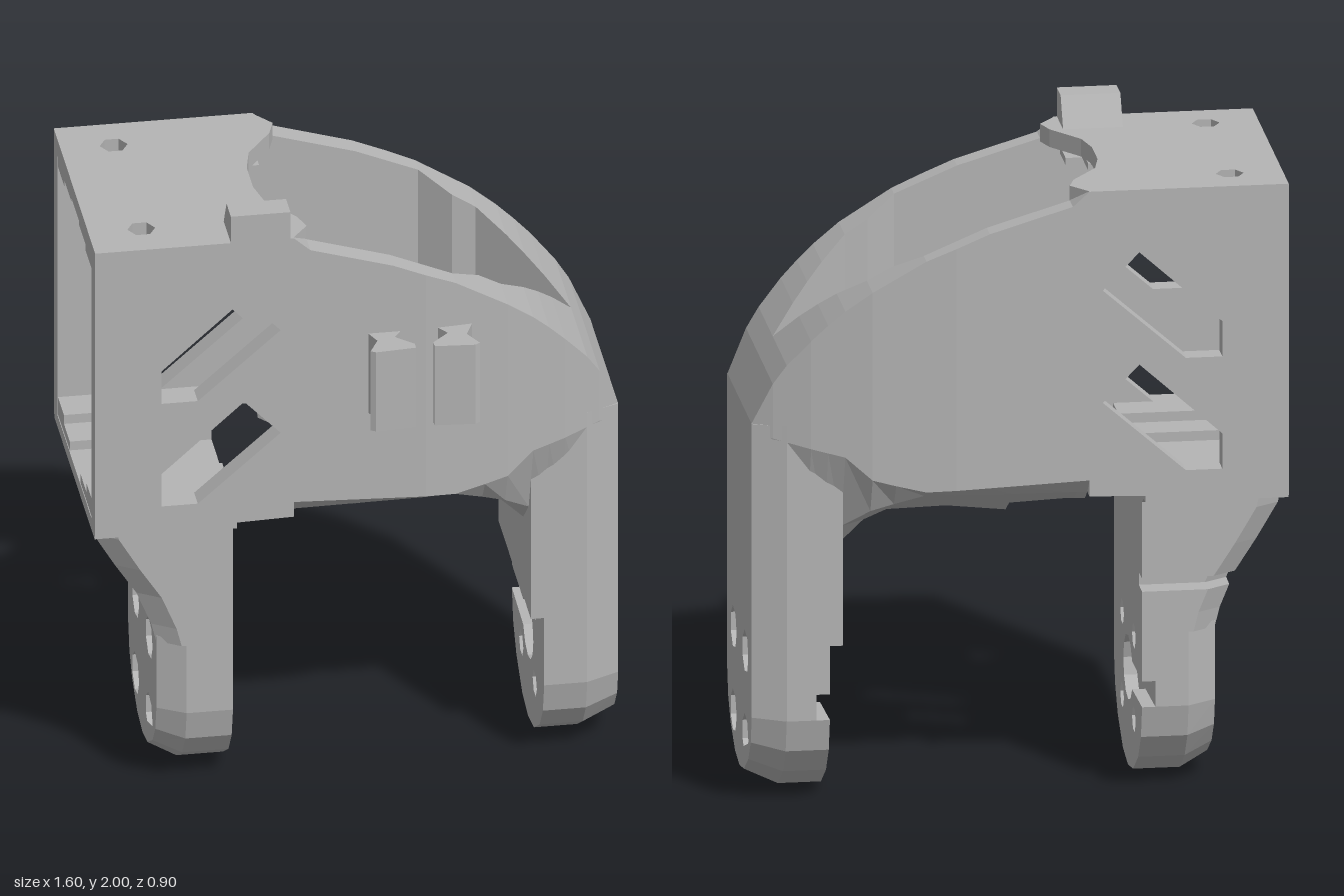
import * as THREE from 'three';

const ZC = -0.058; // centre plane of the housing in z
const grey = new THREE.MeshStandardMaterial({ color: 0xb4b4b4 });
grey.name = 'bracket grey';

const V = (pts) => pts.map(([a, b]) => new THREE.Vector2(a, b));
const ring = (cx, cy, r, n) => Array.from({ length: n }, (_, i) => {
  const t = (i / n) * Math.PI * 2;
  return [cx + r * Math.cos(t), cy + r * Math.sin(t)];
});

function plate(points, holes, depth) {
  const s = new THREE.Shape(V(points));
  holes.forEach((h) => s.holes.push(new THREE.Path(V(h))));
  return new THREE.ExtrudeGeometry(s, { depth, bevelEnabled: false });
}

// Faceted solid through counter-clockwise loops stacked along local z
function loft(stations, loopAt) {
  const loops = stations.map(loopAt);
  const n = loops[0].length;
  const pos = [];
  const put = (k, i) => pos.push(loops[k][i][0], loops[k][i][1], stations[k]);
  for (let k = 0; k < loops.length - 1; k++) {
    for (let i = 0; i < n; i++) {
      const j = (i + 1) % n;
      put(k, i); put(k, j); put(k + 1, j);
      put(k, i); put(k + 1, j); put(k + 1, i);
    }
  }
  const last = loops.length - 1;
  for (const [a, b, c] of THREE.ShapeUtils.triangulateShape(V(loops[0]), [])) { put(0, c); put(0, b); put(0, a); }
  for (const [a, b, c] of THREE.ShapeUtils.triangulateShape(V(loops[last]), [])) { put(last, a); put(last, b); put(last, c); }
  const g = new THREE.BufferGeometry();
  g.setAttribute('position', new THREE.Float32BufferAttribute(pos, 3));
  g.computeVertexNormals();
  return g;
}

// Piecewise linear lookup
function curve(table) {
  return (x) => {
    if (x <= table[0][0]) return table[0][1];
    for (let i = 1; i < table.length; i++) {
      const [x0, y0] = table[i - 1], [x1, y1] = table[i];
      if (x <= x1) return y0 + ((y1 - y0) * (x - x0)) / (x1 - x0);
    }
    return table[table.length - 1][1];
  };
}

export function createModel() {
  const model = new THREE.Group();
  model.name = 'hinged bracket housing';
  const add = (name, g, parent = model) => {
    const m = new THREE.Mesh(g, grey);
    m.name = name;
    parent.add(m);
    return m;
  };
  const box = (name, x0, x1, y0, y1, z0, z1) => add(name,
    new THREE.BoxGeometry(x1 - x0, y1 - y0, z1 - z0).translate((x0 + x1) / 2, (y0 + y1) / 2, (z0 + z1) / 2));
  const slab = (name, pts, holes, yTop, h) => add(name, plate(pts, holes, h).rotateX(Math.PI / 2).translate(0, yTop, 0));

  // Slotted side walls of the square end
  const slot = (dy) => [[-0.6, 1.03], [-0.49, 1.03], [-0.24, 1.25], [-0.35, 1.365], [-0.6, 1.14]].map(([x, y]) => [x, y + dy]);
  const wall = [[-0.8, 0.94], [-0.37, 0.955], [-0.2, 0.96], [-0.2, 1.91], [-0.8, 1.91]];
  add('frontWall', plate(wall, [slot(0), slot(0.35)], 0.068).translate(0, 0, 0.264));
  add('backWall', plate(wall, [slot(0), slot(0.35)], 0.068).translate(0, 0, -0.448));

  // Roof with arched edge and two screw holes
  const arch = [[-0.15, 0.32], [-0.17, 0.26], [-0.25, 0.15], [-0.27, 0.06]];
  const edge = [...arch, ...arch.map(([x, w]) => [x, -w]).reverse()];
  slab('roof', [[-0.8, ZC - 0.385], [-0.2, ZC - 0.385], ...edge.map(([x, w]) => [x, ZC - w]),
    [-0.2, ZC + 0.385], [-0.8, ZC + 0.385]],
  [ring(-0.64, ZC - 0.26, 0.042, 6), ring(-0.64, ZC + 0.26, 0.042, 6)], 1.91, 0.055);

  // Stepped rails under the roof and on the floor
  box('floorPlate', -0.8, -0.37, 0.93, 0.97, ZC - 0.38, ZC + 0.38);
  for (const s of [-1, 1]) {
    const strip = (name, x1, y0, y1, w0) => {
      const a = ZC + s * w0, b = ZC + s * 0.33;
      box(name, -0.798, x1, y0, y1, Math.min(a, b), Math.max(a, b));
    };
    strip('roofRail', -0.26, 1.835, 1.857, 0.07);
    strip('roofRail', -0.21, 1.815, 1.837, 0.2);
    strip('floorStep', -0.37, 0.965, 1.0, 0.1);
    strip('floorStep', -0.37, 0.995, 1.03, 0.21);
  }

  // Curved open housing: each half is a lofted wall plus floor
  const top = curve([[-0.2, 1.91], [-0.15, 1.865], [0.1, 1.79], [0.29, 1.71], [0.45, 1.615], [0.55, 1.54],
    [0.63, 1.46], [0.7, 1.38], [0.74, 1.32], [0.8, 1.19]]);
  const outer = curve([[-0.2, 0.39], [0.2, 0.39], [0.45, 0.368], [0.63, 0.33], [0.74, 0.29], [0.8, 0.26]]);
  const inner = curve([[-0.2, 0.322], [0.29, 0.322], [0.38, 0.25], [0.45, 0.24], [0.7, 0]]);
  const gap = curve([[-0.2, 0.29], [-0.17, 0.265], [0.02, 0.1], [0.021, 0]]);
  const skirt = curve([[-0.2, 1.01], [0.3, 0.99], [0.45, 1.03], [0.53, 1.1], [0.74, 1.15]]);
  const chamfer = curve([[-0.2, 0.96], [0.3, 0.965], [0.45, 0.92], [0.53, 0.86], [0.8, 0.84]]);
  const belly = curve([[-0.2, 0.925], [0.02, 0.88], [0.021, 0.86], [0.2, 0.88], [0.42, 0.875], [0.53, 0.77], [0.8, 0.75]]);
  const xs = [-0.2, -0.17, -0.15, 0.02, 0.021, 0.1, 0.2, 0.29, 0.38, 0.45, 0.53, 0.58, 0.63, 0.7, 0.74, 0.775, 0.8];
  const section = (x) => {
    const wo = outer(x), wi = inner(x), d = Math.min(gap(x), wi);
    const inset = x > 0.5 ? 0.09 : 0.05;
    return [[wi, top(x)], [wo, top(x)], [wo, skirt(x)], [wo - inset, chamfer(x)],
      [Math.max(0.16, d), belly(x)], [d, belly(x)], [d, 1.0], [wi, 1.0]];
  };
  const half = (name, loop) => add(name, loft(xs, loop).rotateY(Math.PI / 2).translate(0, 0, ZC));
  half('housingBack', (x) => section(x).reverse());
  half('housingFront', (x) => section(x).map(([a, y]) => [-a, y]));

  // Legs: slotted inner layer, drilled core, tapered outer layer with hex pockets
  const H = 0.305;
  const foot = [[-H, 0.27], [-0.28, 0.17], [-0.22, 0.09], [-0.11, 0.02], [0, 0], [0.11, 0.02], [0.22, 0.09], [0.28, 0.17], [H, 0.27]];
  const holes = (r, n) => [-1, 1].flatMap((s) => [0.18, 0.44].map((y) => ring(s * 0.127, y, r, n)));
  function leg(name, dir, xInner, topY, thick) {
    const g = new THREE.Group();
    g.name = name;
    model.add(g);
    const outline = [[-H, topY], ...foot, [H, topY]];
    const hub = Array.from({ length: 11 }, (_, i) => {
      const t = -0.45 - (i / 10) * (Math.PI * 2 - 0.9);
      return [0.1 * Math.cos(t), 0.305 + 0.1 * Math.sin(t)];
    });
    let slotted = [[-H, topY], ...foot, ...hub, [H, 0.35], [H, topY]];
    if (dir < 0) slotted = slotted.map(([u, y]) => [-u, y]);
    const [a, b, c] = thick;
    const place = (part, geo, w) => add(part, geo.translate(0, 0, w).rotateY(dir * Math.PI / 2).translate(xInner, 0, ZC), g);
    place('hornRecess', plate(slotted, holes(0.04, 6), a), 0);
    place('legCore', plate(outline, holes(0.04, 6), b), a);
    const cap = plate(outline, holes(0.066, 7), c);
    const p = cap.attributes.position;
    for (let i = 0; i < p.count; i++) {
      const u = p.getX(i), y = p.getY(i);
      const inHole = Math.hypot(Math.abs(u) - 0.127, Math.min(Math.abs(y - 0.18), Math.abs(y - 0.44))) < 0.07;
      if (p.getZ(i) > c / 2 && !inHole) {
        p.setX(i, u * 0.87);
        if (y < 0.3) p.setY(i, 0.3 + (y - 0.3) * 0.84);
      }
    }
    cap.computeVertexNormals();
    place('legCap', cap, a + b);
  }
  leg('leftLeg', 1, 0.57, 1.19, [0.04, 0.09, 0.1]);
  leg('rightLeg', -1, -0.37, 0.52, [0.04, 0.1, 0.085]);
  box('leftLegInnerPad', 0.53, 0.571, 0.5, 1.08, ZC - H, ZC + H);

  // Flaring upper part of the right leg, with a groove across its back
  const flare = curve([[0.5, -0.595], [0.56, -0.61], [0.67, -0.655], [0.77, -0.72], [0.88, -0.785], [0.95, -0.8]]);
  const upper = [0.5, 0.56, 0.63, 0.631, 0.67, 0.671, 0.77, 0.88, 0.91, 0.95];
  add('rightLegUpper', loft(upper, (y) => {
    const x = flare(y);
    const h = y > 0.94 ? 0.37 : H;
    const back = y > 0.6305 && y < 0.6705 ? h - 0.07 : h;
    return [[-0.37, -h], [-0.37, back], [x + 0.07, back], [x, back - 0.045], [x, 0.045 - h], [x + 0.07, -h]];
  }).rotateX(-Math.PI / 2).translate(0, 0, ZC));

  // Pair of cable clips on the front wall
  const clip = [[0.02, 0.32], [0.13, 0.32], [0.1, 0.365], [0.152, 0.415], [0.152, 0.44], [0.03, 0.45], [0.015, 0.44], [0.045, 0.38]];
  slab('cableClip', clip, [], 1.565, 0.27);
  slab('cableClip', clip.map(([x, z]) => [0.36 - x, z]), [], 1.565, 0.27);

  // Small latch nub on the roof
  add('latchNub', plate([[-0.332, 1.9], [-0.19, 1.9], [-0.25, 2], [-0.332, 2]], [], 0.18)
    .rotateY(Math.PI / 2).translate(-0.39, 0, 0));

  return model;
}
